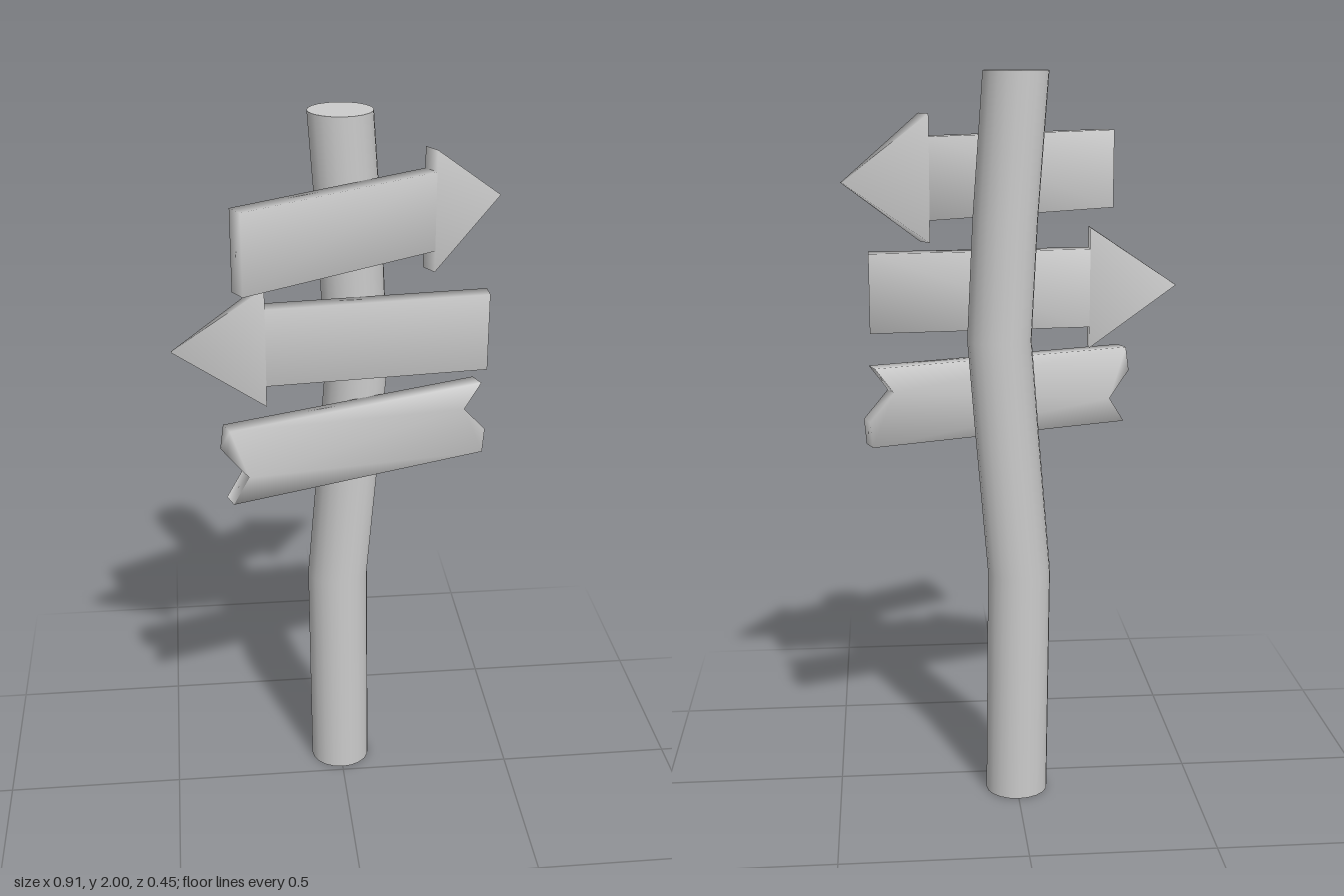
import * as THREE from 'three';
import { mergeVertices } from 'three/addons/utils/BufferGeometryUtils.js';

const material = new THREE.MeshStandardMaterial({ color: 0xcccccc });
const THICK = 0.05;

// Extrude an outline into a board centred on z = 0, move its vertices by a rule, and soften its normals
function board(name, points, rule) {
  const shape = new THREE.Shape(points.map(([x, y]) => new THREE.Vector2(x, y)));
  let geo = new THREE.ExtrudeGeometry(shape, { depth: THICK, bevelEnabled: false });
  geo.translate(0, 0, -THICK / 2);
  const p = geo.attributes.position;
  if (rule) for (let i = 0; i < p.count; i++) p.setZ(i, rule(p.getX(i), p.getZ(i)));
  geo.deleteAttribute('normal');
  geo.deleteAttribute('uv');
  geo = mergeVertices(geo, 1e-4);
  geo.computeVertexNormals();
  const mesh = new THREE.Mesh(geo, material);
  mesh.name = name;
  return mesh;
}

// Arrow sign: plain board plus a head that thins towards its tip; x = 0 is where they meet
function arrow(name, dir, bodyLength, headLength, slope) {
  const g = new THREE.Group();
  g.name = name;
  const outline = (pts) => pts.map(([x, y]) => [x * dir, y]);
  const rule = (x, z) => z * (x * dir > 0.01 ? 0.18 : 1) + slope * x;
  g.add(board(name + 'Board', outline([[-bodyLength, -0.107], [0, -0.107], [0, 0.107], [-bodyLength, 0.107]]), rule));
  g.add(board(name + 'Head', outline([[0, -0.165], [headLength, 0], [0, 0.165]]), rule));
  return g;
}

// Bent post: a cylinder whose rings slide sideways
function post() {
  const rings = [[0, 0], [0.65, -0.007], [1.02, 0.024], [1.3, 0.046], [1.62, 0.03], [2, 0.002]];
  const n = rings.length - 1;
  const geo = new THREE.CylinderGeometry(0.082, 0.082, n, 20, n);
  const p = geo.attributes.position;
  for (let i = 0; i < p.count; i++) {
    const [y, dx] = rings[Math.round(p.getY(i) + n / 2)];
    p.setXYZ(i, p.getX(i) * 1.05 + dx, y, p.getZ(i));
  }
  const normals = geo.attributes.normal.clone();
  geo.computeVertexNormals();
  // keep the round normals at the seam
  geo.setAttribute('normal', normals);
  const mesh = new THREE.Mesh(geo, material);
  mesh.name = 'post';
  mesh.position.z = -0.097;
  return mesh;
}

export function createModel() {
  const model = new THREE.Group();
  model.name = 'signpost';
  model.add(post());

  // Top arrow, turned back on the +x side
  const top = arrow('topArrow', 1, 0.607, 0.243, 0);
  top.position.set(0.241, 1.728, -0.103);
  top.rotation.y = 0.528;
  model.add(top);

  // Middle arrow, pointing the other way
  const middle = arrow('middleArrow', -1, 0.6, 0.245, -0.093);
  middle.position.set(-0.21, 1.419, 0.036);
  model.add(middle);

  // Bottom board with notched ends
  const banner = board('notchedBoard', [
    [-0.376, -0.107], [0.381, -0.107], [0.387, -0.037], [0.318, 0.037],
    [0.37, 0.107], [-0.38, 0.107], [-0.39, 0.04], [-0.33, -0.037],
  ]);
  banner.position.set(0.0375, 1.127, 0.0155);
  banner.rotation.y = 0.342;
  model.add(banner);

  return model;
}
